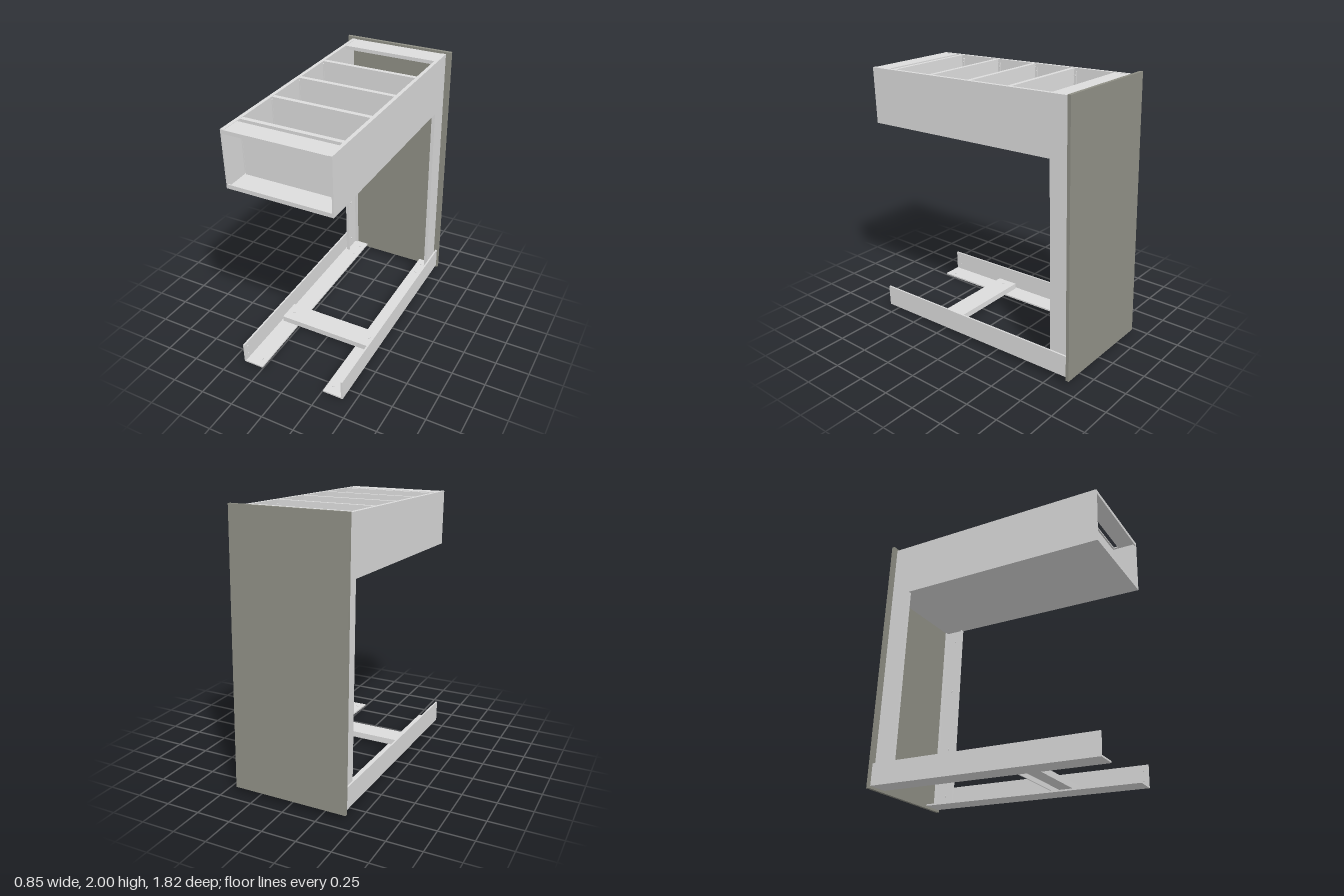
import * as THREE from 'three';

export function createModel() {
  const model = new THREE.Group();
  // The whole frame leans slightly forward
  const frame = new THREE.Group();
  frame.name = 'frame';
  frame.rotation.x = 0.031;
  model.add(frame);

  const sheetMetal = new THREE.MeshStandardMaterial({ color: 0xdcdcdc });
  sheetMetal.name = 'light sheet metal';
  const panelGrey = new THREE.MeshStandardMaterial({ color: 0x8f8f85 });
  panelGrey.name = 'warm grey panel';

  // Box given by its limits on each axis
  const plate = (name, x0, x1, y0, y1, z0, z1, material = sheetMetal) => {
    const mesh = new THREE.Mesh(new THREE.BoxGeometry(x1 - x0, y1 - y0, z1 - z0), material);
    mesh.position.set((x0 + x1) / 2, (y0 + y1) / 2, (z0 + z1) / 2);
    mesh.name = name;
    frame.add(mesh);
  };
  // The same plate on both sides
  const pair = (name, x0, x1, ...rest) => {
    plate('left' + name, x0, x1, ...rest);
    plate('right' + name, -x1, -x0, ...rest);
  };
  // Small rivet heads on both sides; axis is 'x' or 'y'
  const rivets = (name, axis, x, y, z) => {
    for (const s of [1, -1]) {
      const mesh = new THREE.Mesh(new THREE.CylinderGeometry(0.009, 0.009, 0.006, 12), sheetMetal);
      if (axis === 'x') mesh.rotation.z = Math.PI / 2;
      mesh.position.set(s * x, y, z);
      mesh.name = name;
      frame.add(mesh);
    }
  };

  const back = -0.885, front = 0.85;

  // Back panel
  plate('backPanel', -0.425, 0.425, 0.01, 1.974, -0.909, back, panelGrey);

  // Tray: walls with folded edges, floor and end strips
  pair('TrayWall', 0.375, 0.386, 1.543, 1.959, back, front);
  pair('TrayTopFold', 0.36, 0.375, 1.949, 1.959, back, front);
  plate('trayFloor', -0.375, 0.375, 1.543, 1.553, back, front);
  plate('trayFloorLip', -0.375, 0.375, 1.553, 1.573, front - 0.008, front);
  plate('frontStrip', -0.36, 0.36, 1.947, 1.957, 0.71, front);
  plate('frontStripLip', -0.375, 0.375, 1.93, 1.957, front - 0.008, front);
  plate('rearStrip', -0.36, 0.36, 1.947, 1.957, back, -0.725);
  plate('rearStripLip', -0.36, 0.36, 1.93, 1.947, -0.733, -0.725);

  // Dividers with a narrow fold along the top and side tabs
  for (const z of [-0.395, -0.055, 0.295, 0.66]) {
    plate('divider', -0.365, 0.365, 1.553, 1.955, z - 0.004, z + 0.004);
    plate('dividerTopFold', -0.36, 0.36, 1.947, 1.957, z - 0.016, z + 0.016);
    pair('DividerTab', 0.367, 0.375, 1.57, 1.93, z - 0.025, z + 0.004);
    rivets('dividerRivet', 'x', 0.365, 1.9, z - 0.014);
  }

  // Uprights: channels standing against the panel
  pair('UprightWeb', 0.375, 0.386, 0.035, 1.543, back, -0.728);
  pair('UprightFrontFold', 0.36, 0.375, 0.035, 1.543, -0.738, -0.728);
  pair('UprightRearFold', 0.35, 0.375, 0.035, 1.543, back, back + 0.008);
  for (const y of [0.12, 0.5, 1.0, 1.45]) rivets('uprightRivet', 'x', 0.373, y, -0.8);

  // Base rails: angle section with a wide inward foot
  pair('RailWeb', 0.4, 0.413, 0.028, 0.189, back, front);
  pair('RailFoot', 0.255, 0.4, 0.028, 0.04, back, front);
  for (const z of [-0.82, -0.7, 0.78]) rivets('railRivet', 'y', 0.3, 0.042, z);
  for (const y of [0.08, 0.15]) rivets('railEndRivet', 'x', 0.399, y, 0.81);

  // Cross bar: shallow channel resting on the rail feet
  plate('crossBarTop', -0.385, 0.385, 0.074, 0.084, 0.18, 0.35);
  for (const z of [0.18, 0.342]) plate('crossBarFold', -0.385, 0.385, 0.04, 0.074, z, z + 0.008);
  rivets('crossBarRivet', 'y', 0.33, 0.086, 0.265);

  return model;
}
